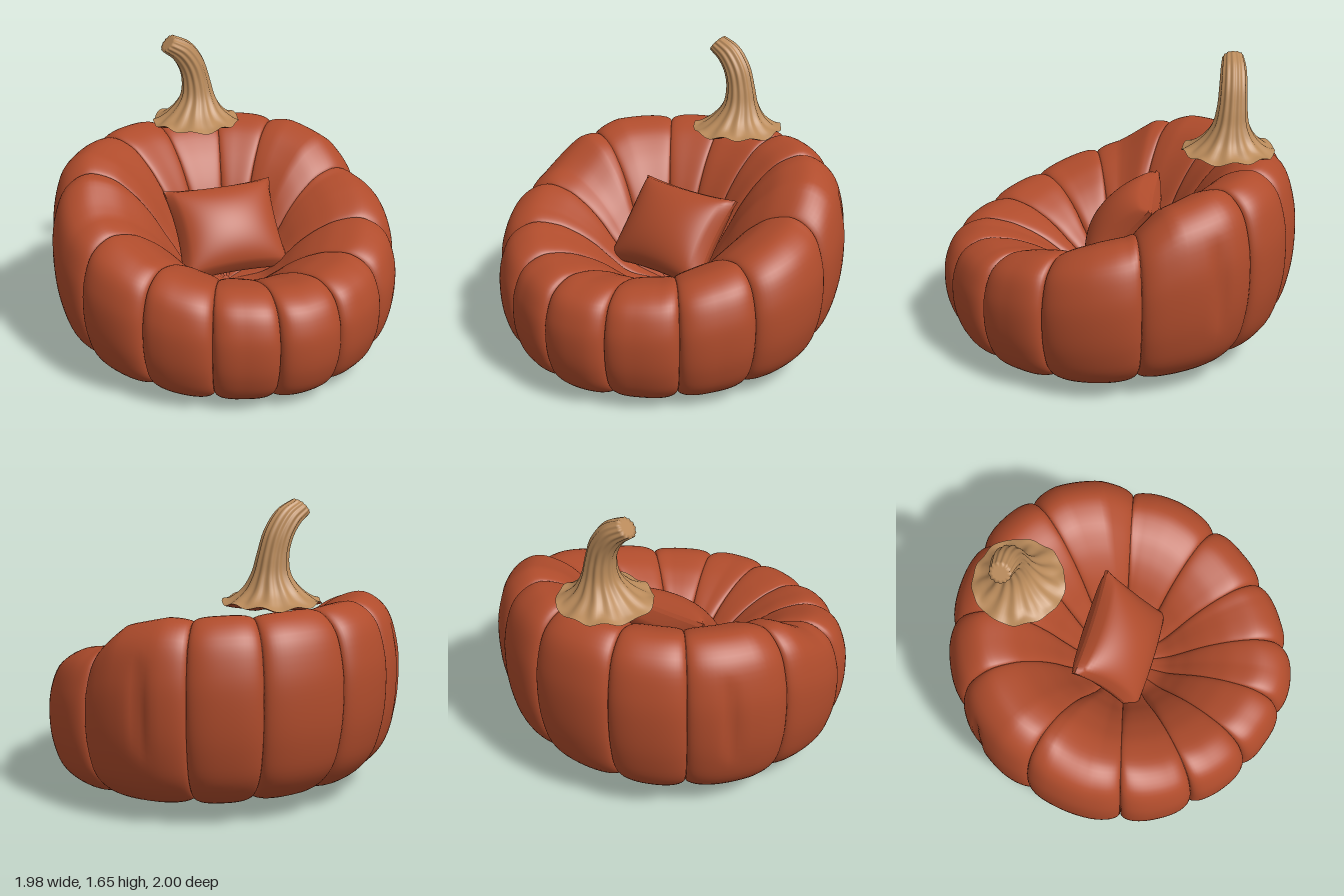
import * as THREE from 'three';

const RAD = Math.PI / 180;
const lerp = THREE.MathUtils.lerp;

// Closed-loop surface: fn(row, col) gives a point; columns wrap around.
function loft(rows, cols, fn) {
  const pos = [], index = [];
  for (let i = 0; i <= rows; i++)
    for (let j = 0; j < cols; j++) pos.push(...fn(i / rows, j));
  for (let i = 0; i < rows; i++)
    for (let j = 0; j < cols; j++) {
      const k = (j + 1) % cols;
      const a = i * cols + j, b = i * cols + k, c = a + cols, d = b + cols;
      index.push(a, b, c, b, d, c);
    }
  const geo = new THREE.BufferGeometry();
  geo.setAttribute('position', new THREE.Float32BufferAttribute(pos, 3));
  geo.setIndex(index);
  geo.computeVertexNormals();
  return geo;
}

function addMesh(group, name, geo, material) {
  const mesh = new THREE.Mesh(geo, material);
  mesh.name = name;
  group.add(mesh);
  return mesh;
}

// Piecewise linear lookup
function lookup(table, x) {
  for (let i = 1; i < table.length; i++) {
    const [x0, y0] = table[i - 1], [x1, y1] = table[i];
    if (x <= x1) return lerp(y0, y1, (x - x0) / (x1 - x0));
  }
  return table[table.length - 1][1];
}

// Padded body: seam angles run from the front towards the left side
const SEAMS = [12.5, 37, 63, 96, 134, 157.5, 186, 211, 245, 278, 304, 328, 350];
const TUCKS = [120, 224]; // short creases that stop before top and bottom
// By angle from the front: rim height, outer radius, seam depth
const RIM = [[0, 0.65], [30, 0.67], [45, 0.71], [63, 0.765], [80, 0.84], [92, 0.88], [97, 0.92],
  [108, 1.025], [125, 1.085], [150, 1.1], [180, 1.105]];
const RADIUS = [[0, 1], [8, 0.995], [22, 0.97], [50, 0.965], [80, 0.99], [105, 0.995], [125, 1.015], [180, 1]];
const DEPTH = [[0, 0.15], [50, 0.17], [90, 0.15], [130, 0.13], [180, 0.13]];
// Section from bottom centre, over the rim, to the seat: radius, rim weight, seat weight
const SECTION = new THREE.CatmullRomCurve3([
  [0, 0.09, 0], [0.12, 0.045, 0], [0.35, 0.005, 0], [0.6, 0, 0], [0.79, 0.03, 0],
  [0.92, 0.15, 0], [0.98, 0.33, 0], [1, 0.54, 0], [0.985, 0.74, 0], [0.92, 0.92, 0], [0.8, 1, 0],
  [0.66, 0.96, 0.04], [0.53, 0.82, 0.18], [0.42, 0.63, 0.37], [0.32, 0.39, 0.61],
  [0.2, 0.14, 0.86], [0, 0, 1],
].map(p => new THREE.Vector3(...p)));

function bodyGeometry() {
  const perLobe = 24, seatY = 0.35, ringR = 0.58;
  return loft(80, SEAMS.length * perLobe, (t, j) => {
    const lobe = Math.floor(j / perLobe);
    const start = SEAMS[lobe];
    const end = lobe + 1 < SEAMS.length ? SEAMS[lobe + 1] : SEAMS[0] + 360;
    const w = 2 * (j % perLobe) / perLobe - 1;
    const v = Math.sin(w * Math.PI / 2);
    const deg = lerp(start, end, (v + 1) / 2) % 360;
    const a = deg * RAD, side = deg > 180 ? 360 - deg : deg;
    const s = SECTION.getPoint(t);
    const top = lookup(RIM, side);
    const base = Math.max(0, 0.065 * (0.7 - s.x * Math.cos(a)));
    const y = s.y * top + s.z * seatY + (1 - s.y - s.z) * base;
    // seams pull in towards the middle of the padded ring
    let pull = lookup(DEPTH, side) * Math.pow(1 - Math.cos(w * Math.PI / 2), 1.4);
    for (const tuck of TUCKS) {
      const span = Math.max(0, 1 - ((s.y - 0.58) / 0.27) ** 2);
      if (s.z < 0.01 && s.x > 0.8) pull += 0.07 * span * Math.exp(-(((deg - tuck) / 2) ** 2));
    }
    pull *= Math.min(1, s.x / 0.3);
    const r = lookup(RADIUS, side) * lerp(s.x, ringR, pull);
    return [r * Math.sin(a), lerp(y, (top + base) / 2, pull * 0.55), r * Math.cos(a)];
  });
}

// Stem rows: centre x, centre y, radius
const STEM = new THREE.CatmullRomCurve3([
  [0.1, 1.135, 0.257], [0.1, 1.15, 0.215], [0.105, 1.2, 0.15], [0.115, 1.28, 0.1],
  [0.108, 1.38, 0.08], [0.08, 1.48, 0.074], [0.02, 1.565, 0.068], [-0.06, 1.615, 0.056],
].map(p => new THREE.Vector3(...p)));
const STEM_Z = -0.605, STEM_COLS = 96;

// Ribbed ring point; flare is 1 at the wavy rim and 0 up the stalk
function stemPoint(c, lean, j, flare, scale = 1) {
  const a = j / STEM_COLS * Math.PI * 2;
  const rib = 1 + (0.05 - 0.04 * flare) * Math.cos(13 * a) + 0.012 * Math.cos(5 * a + 1);
  const r = c.z * rib * scale;
  const u = r * Math.sin(a);
  const wave = 0.01 * flare * Math.sin(9 * a) + 0.005 * flare * Math.sin(4 * a);
  const z = STEM_Z - 0.06 * Math.max(0, c.y - 1.14);
  return [c.x + u * Math.cos(lean), c.y + u * Math.sin(lean) + wave, z + r * Math.cos(a)];
}

function stalkGeometry() {
  return loft(43, STEM_COLS, (t, j) => {
    const k = Math.min(1, t * 43 / 40);
    const c = STEM.getPoint(k);
    const lean = 0.85 * THREE.MathUtils.smoothstep(k, 0.45, 1);
    const cap = Math.max(0, t * 43 - 40) / 3; // last rows close the tip
    return stemPoint(c, lean, j, Math.max(0, 1 - k * 5), 1 - cap);
  });
}

function undersideGeometry() {
  const c = STEM.getPoint(0);
  return loft(6, STEM_COLS, (t, j) => {
    const p = stemPoint(c, 0, j, t, t);
    p[1] -= 0.022 * Math.sin(t * Math.PI) + 0.01 * (1 - t);
    return p;
  });
}

// Cushion: box squeezed to thin edges with pointed corners
function pillowGeometry() {
  const geo = new THREE.BoxGeometry(2, 2, 2, 28, 28, 1);
  const p = geo.attributes.position;
  for (let i = 0; i < p.count; i++) {
    const u = p.getX(i), v = p.getY(i);
    const puff = Math.pow((1 - u * u) * (1 - v * v), 0.45);
    p.setXYZ(i,
      0.325 * u * (1 - 0.09 * (1 - v * v)),
      0.27 * v * (1 - 0.07 * (1 - u * u)),
      p.getZ(i) * (0.012 + 0.15 * puff));
  }
  geo.computeVertexNormals();
  return geo;
}

export function createModel() {
  const fabric = new THREE.MeshStandardMaterial({ color: 0xb04c2c });
  fabric.name = 'orange fabric';
  const wood = new THREE.MeshStandardMaterial({ color: 0xb98a5a });
  wood.name = 'tan stem';

  const model = new THREE.Group();
  model.name = 'pumpkinChair';
  addMesh(model, 'paddedBody', bodyGeometry(), fabric);

  const pillow = addMesh(model, 'pillow', pillowGeometry(), fabric);
  pillow.position.set(0.015, 0.655, -0.03);
  pillow.rotation.set(-0.7, -0.12, 0, 'YXZ');

  const stem = new THREE.Group();
  stem.name = 'stem';
  addMesh(stem, 'stalk', stalkGeometry(), wood);
  addMesh(stem, 'stemUnderside', undersideGeometry(), fabric);
  model.add(stem);
  return model;
}
